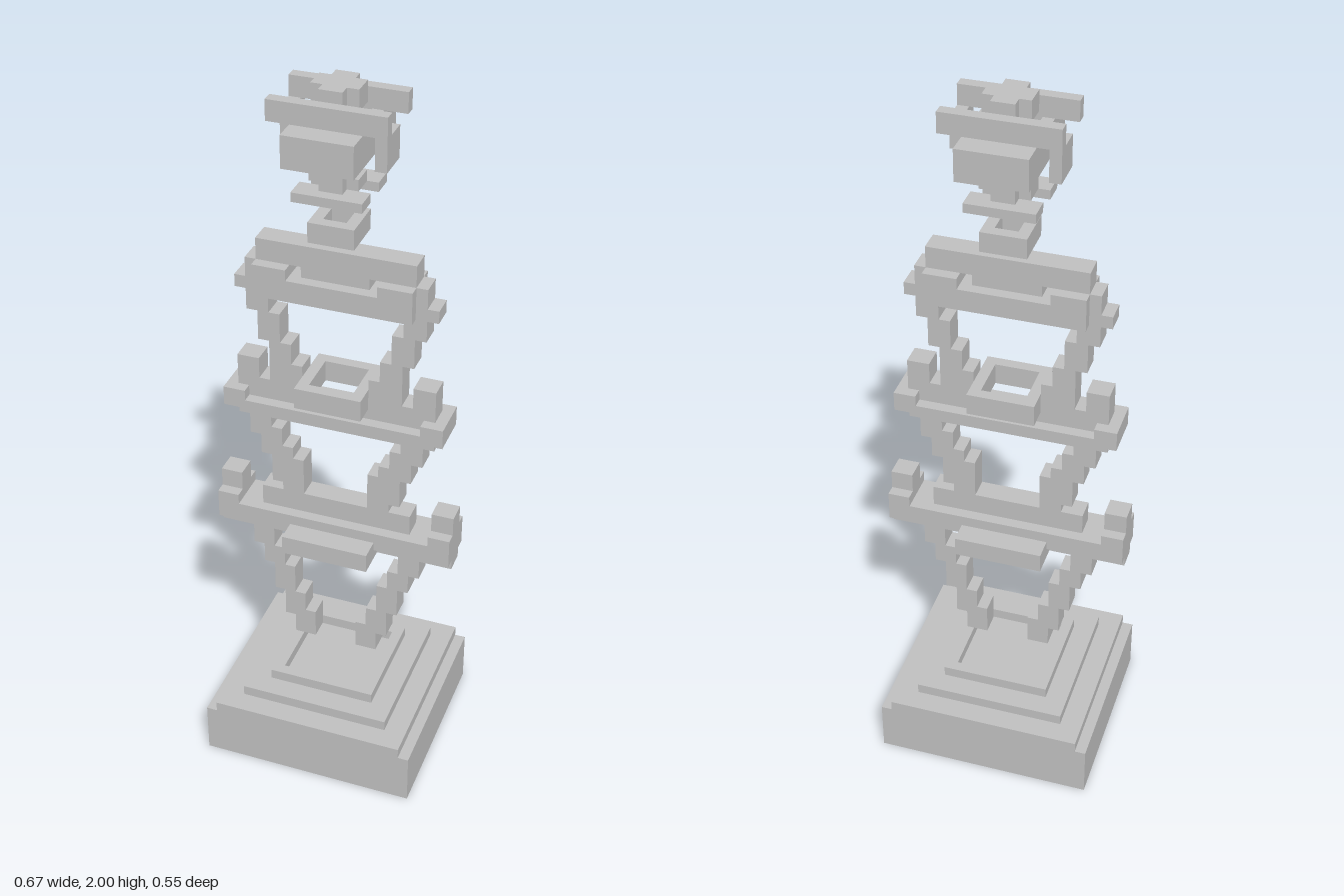
import * as THREE from 'three';

const U = 1 / 33; // block size across x and z

export function createModel() {
  const model = new THREE.Group();
  model.name = 'blockTower';
  const stone = new THREE.MeshStandardMaterial({ color: 0xbfbfbf });
  stone.name = 'grey stone';

  // Block from x and z limits in block units and y limits in world units
  function block(name, x0, x1, y0, y1, z0, z1) {
    const mesh = new THREE.Mesh(
      new THREE.BoxGeometry((x1 - x0) * U, y1 - y0, (z1 - z0) * U), stone);
    mesh.position.set((x0 + x1) * U / 2, (y0 + y1) / 2, (z0 + z1) * U / 2);
    mesh.name = name;
    model.add(mesh);
  }
  // Centred block
  const slab = (name, x, y0, y1, z) => block(name, -x, x, y0, y1, -z, z);
  // Pair mirrored over x
  function sides(name, x0, x1, y0, y1, z) {
    block(name + 'Left', x0, x1, y0, y1, -z, z);
    block(name + 'Right', -x1, -x0, y0, y1, -z, z);
  }
  // Pair mirrored over z
  function frontBack(name, x, y0, y1, z0, z1) {
    block(name + 'Front', -x, x, y0, y1, z0, z1);
    block(name + 'Back', -x, x, y0, y1, -z1, -z0);
  }
  // Square ring, one block thick
  function ring(name, r, y0, y1) {
    frontBack(name, r, y0, y1, r - 1, r);
    sides(name + 'Side', r - 1, r, y0, y1, r - 1);
  }

  // Stepped base with a recessed top
  slab('base', 10, 0, 0.15, 9);
  slab('baseStep', 9, 0.15, 0.18, 9);
  slab('baseUpperStep', 7, 0.18, 0.21, 7);
  ring('baseRim', 5, 0.21, 0.24);

  // Stepped legs: inner x, outer x, bottom, top
  const legs = {
    lowerLeg: [[2, 4, 0.30, 0.36], [2, 5, 0.36, 0.385], [3, 5, 0.385, 0.445],
      [4, 6, 0.445, 0.535], [5, 7, 0.535, 0.595], [6, 8, 0.595, 0.655]],
    middleLeg: [[3, 5, 0.80, 0.825], [3, 6, 0.825, 0.91], [4, 7, 0.91, 0.945],
      [5, 7, 0.945, 0.97], [5, 8, 0.97, 1.0], [6, 8, 1.0, 1.03]],
    upperLeg: [[3, 6, 1.15, 1.21], [4, 6, 1.21, 1.27], [5, 7, 1.27, 1.355],
      [6, 8, 1.355, 1.415]],
  };
  for (const [name, steps] of Object.entries(legs))
    for (const [a, b, y0, y1] of steps) sides(name, a, b, y0, y1, 1);

  // Lower crossbar with upturned ends and a tray
  slab('lowerBarKeel', 11, 0.655, 0.685, 1);
  slab('lowerBar', 11, 0.685, 0.74, 2);
  slab('lowerBarTop', 7, 0.74, 0.80, 1);
  sides('lowerBarEnd', 9, 11, 0.74, 0.77, 2);
  sides('lowerBarPost', 9, 11, 0.77, 0.825, 1);
  slab('lowerTray', 4, 0.655, 0.71, 4);

  // Middle crossbar with a hollow basket
  slab('middleBarKeel', 9, 1.03, 1.065, 1);
  slab('middleBar', 10, 1.065, 1.09, 2);
  sides('middleBarEnd', 8, 10, 1.09, 1.12, 2);
  slab('middleBarTop', 9, 1.09, 1.12, 1);
  sides('middleBarPost', 7, 9, 1.12, 1.21, 1);
  sides('middleBarShoulder', 3, 7, 1.12, 1.15, 1);
  ring('basket', 3, 1.12, 1.18);

  // Upper crossbar with two through notches
  slab('upperBar', 7, 1.415, 1.475, 2);
  sides('upperBarTip', 7, 9, 1.415, 1.45, 1);
  sides('upperBarBlock', 4, 8, 1.45, 1.505, 1);
  sides('upperBarLedge', 4, 7, 1.475, 1.505, 2);
  slab('upperBarCentre', 3, 1.475, 1.505, 1);
  slab('upperBarTop', 7, 1.505, 1.565, 1);

  // Neck ring
  ring('neck', 2, 1.595, 1.65);

  // Head: feet, uprights, plates and a cross on top
  frontBack('headFoot', 3, 1.715, 1.74, 1, 3);
  slab('headSpacer', 2, 1.74, 1.77, 1);
  frontBack('headUpright', 1, 1.715, 2, 1, 2);
  frontBack('headPlate', 3, 1.83, 1.915, 3, 5);
  frontBack('headBar', 5, 1.915, 1.97, 2, 3);
  frontBack('headInnerPlate', 3, 1.83, 1.915, 2, 3);
  block('headCheekLeft', 4, 5, 1.83, 1.915, 0, 3);
  block('headCheekRight', -5, -4, 1.83, 1.915, -3, 0);
  sides('headSide', 2, 3, 1.83, 1.915, 2);
  slab('headCross', 2, 1.945, 2, 1);

  return model;
}
